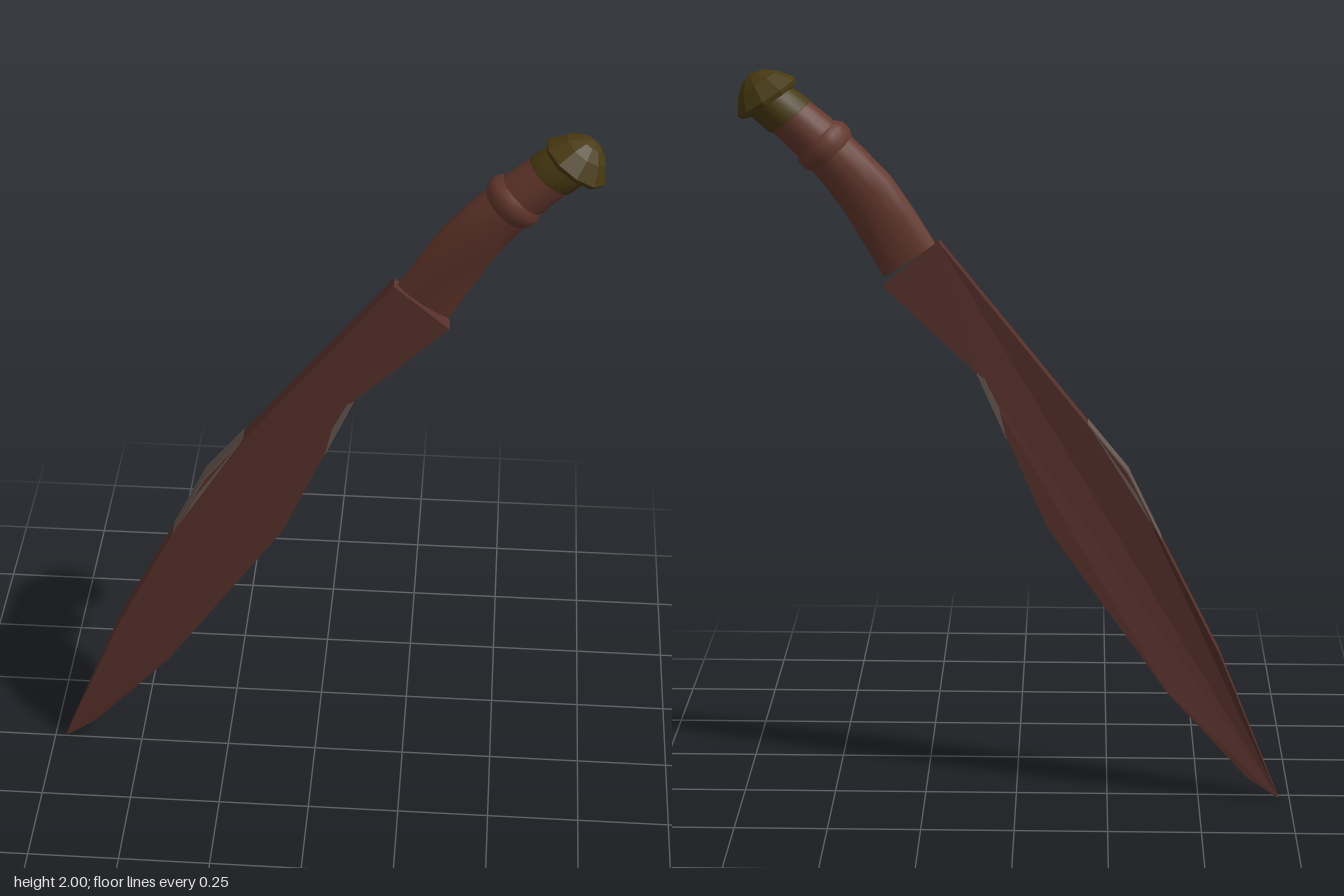
import * as THREE from 'three';

const mat = (name, color) => {
  const m = new THREE.MeshStandardMaterial({ color });
  m.name = name;
  return m;
};
const lerp = THREE.MathUtils.lerp;
const Z = -0.012; // middle plane of sheath and grip

// half thickness of the sheath along its height
function halfThickness(y) {
  if (y < 0.32) return lerp(0.011, 0.028, Math.max(0, y) / 0.32);
  if (y < 1.2) return 0.028;
  return lerp(0.028, 0.022, Math.min(1, (y - 1.2) / 0.3));
}

// flat outline given a tapering thickness
function slab(points, extra = 0) {
  const shape = new THREE.Shape(points.map(p => new THREE.Vector2(...p)));
  const geo = new THREE.ExtrudeGeometry(shape, { depth: 1, bevelEnabled: false });
  const p = geo.attributes.position;
  for (let i = 0; i < p.count; i++) {
    const side = p.getZ(i) > 0.5 ? 1 : -1;
    p.setZ(i, Z + side * (halfThickness(p.getY(i)) + extra));
  }
  geo.computeVertexNormals();
  return geo;
}

// oval sections [x, y, halfWidth, halfDepth, tilt] joined into a skin
function loft(sections, from = 0, to = Math.PI * 2, grow = 1, segs = 20) {
  const pos = [], idx = [], row = segs + 1;
  sections.forEach(([x, y, a, b, tilt]) => {
    const ux = Math.cos(tilt), uy = Math.sin(tilt);
    for (let j = 0; j <= segs; j++) {
      const t = lerp(from, to, j / segs);
      const w = a * grow * Math.cos(t);
      pos.push(x + ux * w, y + uy * w, Z + b * grow * Math.sin(t));
    }
  });
  for (let i = 0; i < sections.length - 1; i++) {
    for (let j = 0; j < segs; j++) {
      const k = i * row + j;
      idx.push(k, k + row, k + 1, k + 1, k + row, k + row + 1);
    }
  }
  const geo = new THREE.BufferGeometry();
  geo.setAttribute('position', new THREE.Float32BufferAttribute(pos, 3));
  geo.setIndex(idx);
  geo.computeVertexNormals();
  return geo;
}

export function createModel() {
  const leather = mat('sheath leather', 0x56302a);
  const wood = mat('grip wood', 0x63372c);
  const brass = mat('dark brass', 0x473911);
  const worn = mat('worn grey', 0x65564f);

  const group = new THREE.Group();
  const add = (name, geo, material) => {
    const mesh = new THREE.Mesh(geo, material);
    mesh.name = name;
    group.add(mesh);
    return mesh;
  };

  // leaf-shaped sheath
  add('sheath', slab([
    [-0.72, 0.005], [-0.63, 0.07], [-0.41, 0.32], [-0.085, 0.785], [0.1, 1.21],
    [0.345, 1.44], [0.2, 1.56], [-0.295, 0.94], [-0.55, 0.43],
  ]), leather);

  // worn spots on the two long edges
  add('spineWear', slab([
    [-0.388, 0.756], [-0.28, 0.93], [-0.19, 1.076], [-0.298, 0.943],
  ], -0.001), worn);
  add('bellyWear', slab([
    [0.025, 1.032], [0.102, 1.208], [0.085, 1.2], [0.045, 1.12],
  ], 0.001), worn);

  // curved grip, slim at the sheath and rounder toward the pommel
  const base = [0.277, 1.509, 0.081, 0.023, -0.6];
  add('grip', loft([
    [0.277, 1.509, 0.001, 0.001, -0.6], base, base,
    [0.33, 1.598, 0.08, 0.036, -0.56],
    [0.385, 1.685, 0.077, 0.05, -0.6],
    [0.44, 1.75, 0.071, 0.058, -0.7],
    [0.493, 1.808, 0.067, 0.063, -0.72],
    [0.545, 1.855, 0.065, 0.062, -0.7],
    [0.588, 1.892, 0.063, 0.06, -0.66],
  ]), wood);

  // raised band around the grip
  add('gripBand', loft([
    [0.472, 1.786, 0.066, 0.062, -0.72],
    [0.485, 1.8, 0.078, 0.072, -0.72],
    [0.501, 1.817, 0.078, 0.072, -0.72],
    [0.514, 1.83, 0.066, 0.062, -0.72],
  ]), wood);

  // worn spot on the underside of the grip
  add('gripWear', loft([
    [0.52, 1.832, 0.066, 0.063, -0.71],
    [0.545, 1.855, 0.065, 0.062, -0.7],
    [0.565, 1.873, 0.064, 0.061, -0.68],
  ], -0.5, 0.5, 1.03, 8), worn);

  // collar under the pommel
  add('collar', loft([
    [0.578, 1.882, 0.062, 0.06, -0.66],
    [0.58, 1.884, 0.067, 0.065, -0.66],
    [0.61, 1.908, 0.066, 0.064, -0.62],
    [0.638, 1.93, 0.064, 0.062, -0.58],
  ]), brass);

  // faceted mushroom pommel
  const profile = [
    [0.05, -0.018], [0.084, -0.006], [0.09, 0.006],
    [0.06, 0.048], [0.03, 0.07], [0, 0.079],
  ].map(p => new THREE.Vector2(...p));
  const capGeo = new THREE.LatheGeometry(profile, 10).toNonIndexed();
  capGeo.computeVertexNormals();
  const cap = add('pommel', capGeo, brass);
  cap.position.set(0.638, 1.926, 0.003);
  cap.rotation.z = -0.58;

  return group;
}
